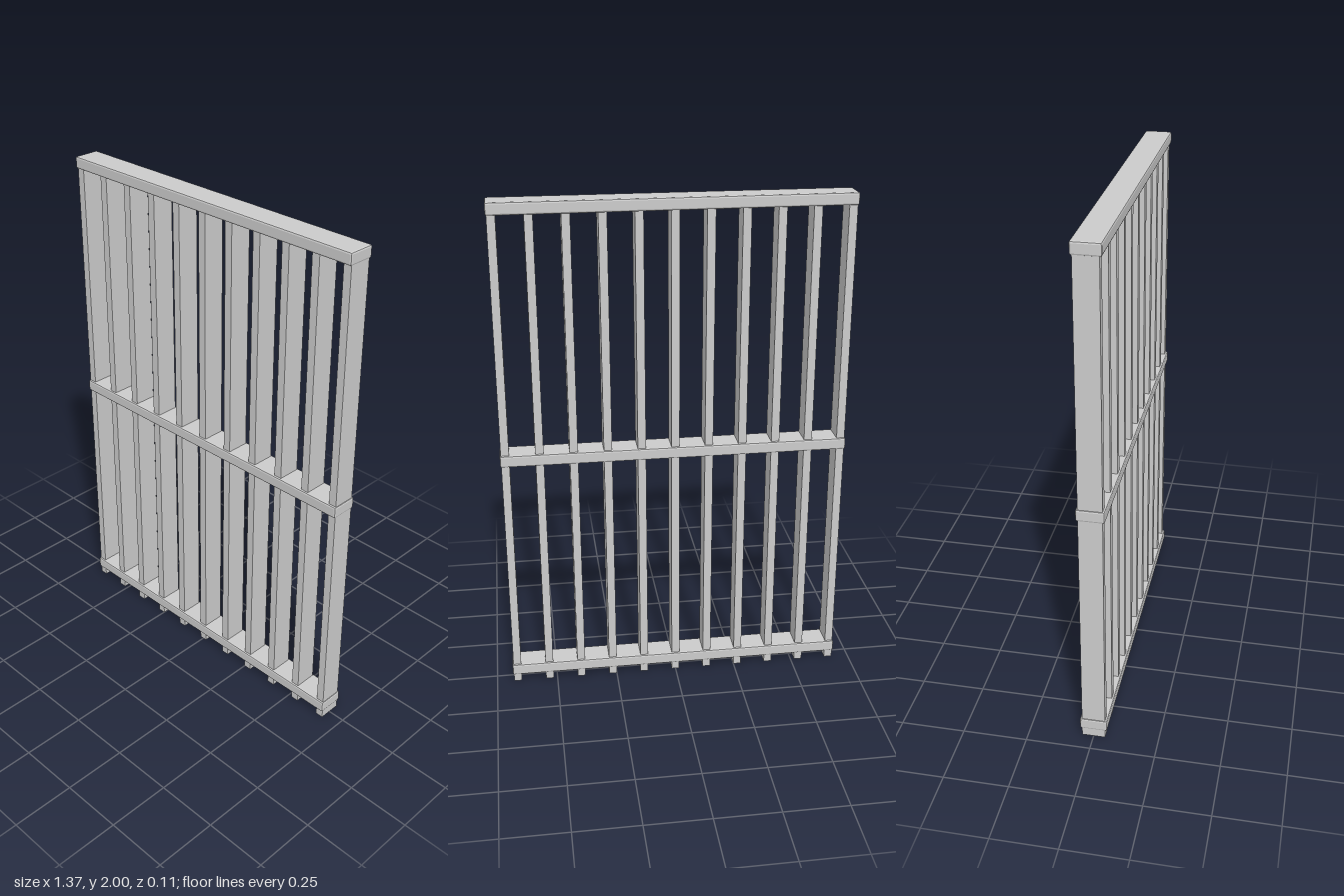
import * as THREE from 'three';
import { RoundedBoxGeometry } from 'three/addons/geometries/RoundedBoxGeometry.js';

export function createModel() {
  const model = new THREE.Group();
  model.name = 'barredPanel';
  const material = new THREE.MeshStandardMaterial({ color: 0xcccccc, flatShading: true });

  const add = (name, geometry, x, y) => {
    const mesh = new THREE.Mesh(geometry, material);
    mesh.name = name;
    mesh.position.set(x, y, 0);
    model.add(mesh);
  };

  // Upright flat bars, evenly spaced, with feet below the bottom rail
  const barCount = 11;
  const spacing = 0.1328;
  const barHeight = 1.98;
  const barGeometry = new THREE.BoxGeometry(0.032, barHeight, 0.09);
  for (let i = 0; i < barCount; i++) {
    add(`bar${i + 1}`, barGeometry, (i - (barCount - 1) / 2) * spacing, barHeight / 2);
  }

  // Cross rails with small chamfered edges
  const railGeometry = new RoundedBoxGeometry(1.368, 0.047, 0.106, 1, 0.007);
  add('bottomRail', railGeometry, 0, 0.057);
  add('middleRail', railGeometry, 0, 1.0);
  add('topRail', railGeometry, 0, 1.9765);

  return model;
}
